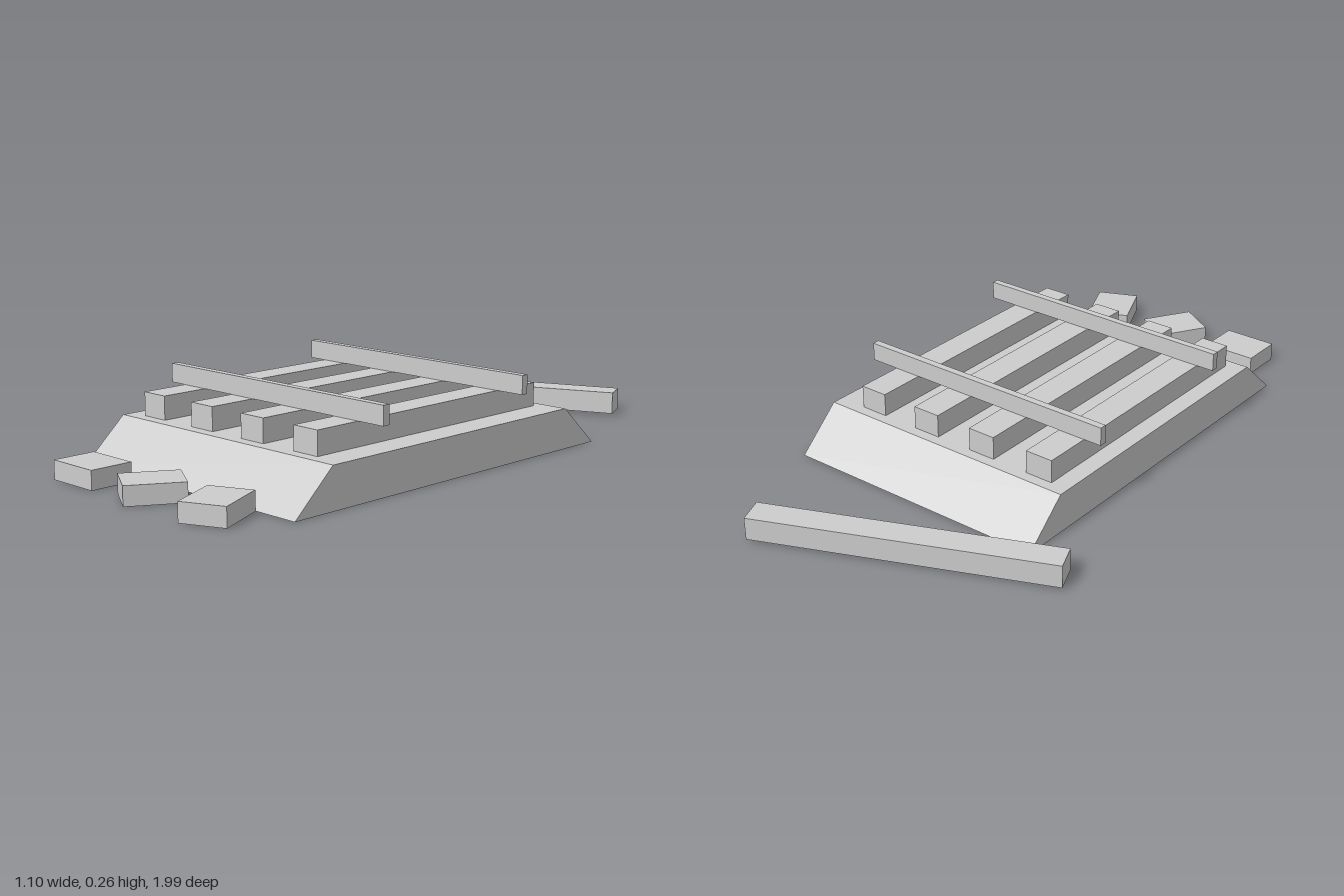
import * as THREE from 'three';

export function createModel() {
  const group = new THREE.Group();
  const grey = new THREE.MeshStandardMaterial({ color: 0xcccccc });
  grey.name = 'plain grey';

  const add = (name, geometry, x, y, z, turn = 0) => {
    const mesh = new THREE.Mesh(geometry, grey);
    mesh.name = name;
    mesh.position.set(x, y, z);
    mesh.rotation.y = turn;
    group.add(mesh);
  };
  const box = (w, h, d) => new THREE.BoxGeometry(w, h, d);

  // Raised bed with sloping ends, its profile swept across x
  const profile = new THREE.Shape([
    [-0.768, 0], [0.545, 0], [0.4, 0.13], [-0.625, 0.13],
  ].map(([x, y]) => new THREE.Vector2(x, y)));
  const bed = new THREE.ExtrudeGeometry(profile, { depth: 0.916, bevelEnabled: false });
  bed.rotateY(Math.PI / 2);
  add('bed', bed, -0.368, 0, 0);

  // Four beams lying lengthwise on the bed
  for (let i = 0; i < 4; i++) {
    add('sleeper' + (i + 1), box(0.095, 0.075, 0.952), -0.259 + i * 0.2205, 0.1675, 0.112);
  }

  // Two thin rails crossing the beams
  add('frontRail', box(0.916, 0.06, 0.024), 0.09, 0.235, 0.417);
  add('backRail', box(0.916, 0.06, 0.024), 0.09, 0.235, -0.194);

  // Loose beam behind the bed
  add('looseBeam', box(0.951, 0.073, 0.091), -0.094, 0.0425, -0.772, 0.401);

  // Loose blocks in front of the bed
  [[-0.185, 0], [0.091, 1.017], [0.365, -1.16]].forEach(([x, turn], i) => {
    add('looseBlock' + (i + 1), box(0.18, 0.06, 0.143), x, 0.03, 0.88, turn);
  });

  return group;
}
